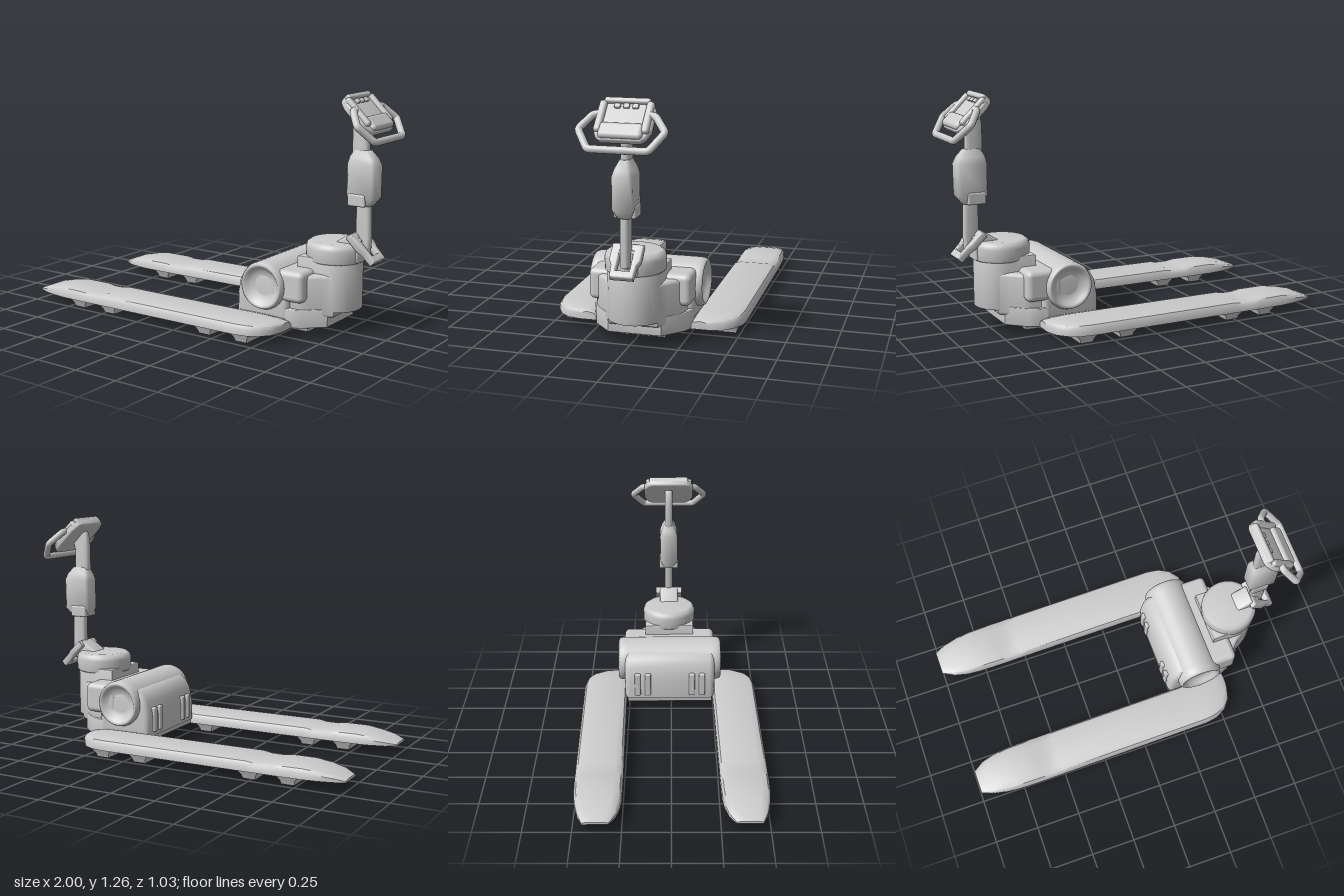
import * as THREE from 'three';
import { toCreasedNormals } from 'three/addons/utils/BufferGeometryUtils.js';
import { RoundedBoxGeometry } from 'three/addons/geometries/RoundedBoxGeometry.js';

const material = new THREE.MeshStandardMaterial({ color: 0xcccccc });

function add(parent, name, geometry, x = 0, y = 0, z = 0) {
  const mesh = new THREE.Mesh(geometry, material);
  mesh.name = name;
  mesh.position.set(x, y, z);
  parent.add(mesh);
  return mesh;
}

const toShape = (pts) => new THREE.Shape(pts.map(([x, y]) => new THREE.Vector2(x, y)));

// Bevelled slab of a side profile, centred on z; the outline stays the given size.
function slab(shape, depth, bevel) {
  const g = new THREE.ExtrudeGeometry(shape, {
    depth: depth - 2 * bevel, bevelEnabled: bevel > 0, bevelSize: bevel,
    bevelThickness: bevel, bevelOffset: -bevel, bevelSegments: 3, curveSegments: 16,
  });
  g.translate(0, 0, -depth / 2 + bevel);
  return toCreasedNormals(g, 0.7);
}

// Plan outline raised from y0 to y1.
function raised(pts, y0, y1, bevel) {
  const g = slab(toShape(pts), y1 - y0, bevel);
  g.rotateX(-Math.PI / 2);
  return g.translate(0, (y0 + y1) / 2, 0);
}

const mirrorPlan = (half) => [...half.map(([x, z]) => [x, -z]), ...half.slice().reverse()];

// Skin over equal-length loops of points, closed at both ends.
function loft(loops, crease = 0.7) {
  const n = loops[0].length, index = [];
  for (let i = 0; i < loops.length - 1; i++) {
    for (let j = 0; j < n; j++) {
      const a = i * n + j, d = i * n + (j + 1) % n;
      index.push(a, a + n, d + n, a, d + n, d);
    }
  }
  const last = (loops.length - 1) * n;
  for (let j = 1; j < n - 1; j++) index.push(0, j, j + 1, last, last + j + 1, last + j);
  const g = new THREE.BufferGeometry();
  g.setAttribute('position', new THREE.Float32BufferAttribute(loops.flat(2), 3));
  g.setIndex(index);
  return toCreasedNormals(g.toNonIndexed(), crease);
}

// Fork stations: x, inner z, outer z, top y.
const forkStations = [
  [-1, 0.32, 0.455, 0.064], [-0.94, 0.285, 0.48, 0.086], [-0.86, 0.265, 0.498, 0.102],
  [-0.78, 0.257, 0.507, 0.112], [-0.65, 0.255, 0.51, 0.111], [-0.6, 0.255, 0.51, 0.103],
  [-0.52, 0.255, 0.51, 0.104], [-0.48, 0.255, 0.51, 0.112], [0.18, 0.255, 0.51, 0.112],
  [0.38, 0.255, 0.51, 0.112], [0.45, 0.255, 0.5, 0.111], [0.51, 0.255, 0.468, 0.107],
  [0.55, 0.255, 0.42, 0.101], [0.57, 0.255, 0.35, 0.093],
];

function forkGeometry(side) {
  return loft(forkStations.map(([x, zi, zo, top]) => {
    const h = top - 0.05, loop = [
      [zi, 0.05], [zo, 0.05], [zo, 0.05 + h * 0.55], [zo - 0.012, 0.05 + h * 0.85], [zo - 0.045, top],
      [zi + 0.045, top], [zi + 0.012, 0.05 + h * 0.85], [zi, 0.05 + h * 0.55],
    ].map(([z, y]) => [x, y, z * side]);
    return side > 0 ? loop : loop.reverse();
  }));
}

// Pad tapering down to the floor with hollow flanks.
function padGeometry(length, width) {
  const rings = [[0, 0.035, 0.025], [0.022, 0.03, 0.016], [0.038, 0.018, 0.008], [0.055, 0, 0]];
  return loft(rings.map(([y, dx, dz]) => {
    const x = length / 2 - dx, z = width / 2 - dz;
    return [[x, y, -z], [x, y, z], [-x, y, z], [-x, y, -z]];
  }));
}

// Group lying on a 45 degree slope: local y points up the slope, z outwards.
function slopedGroup(parent, name, x, y) {
  const g = new THREE.Group(), k = Math.SQRT1_2;
  g.name = name;
  g.quaternion.setFromRotationMatrix(new THREE.Matrix4().makeBasis(
    new THREE.Vector3(0, 0, -1), new THREE.Vector3(-k, k, 0), new THREE.Vector3(k, k, 0)));
  g.position.set(x, y, 0);
  parent.add(g);
  return g;
}

export function createModel() {
  const root = new THREE.Group();
  root.name = 'palletTruck';
  const truck = new THREE.Group();
  truck.name = 'truck';
  truck.rotation.y = 0.012;
  truck.position.z = -0.006;
  root.add(truck);

  // Forks with floor pads
  for (const s of [1, -1]) {
    add(truck, 'fork', forkGeometry(s));
    for (const x of [-0.695, -0.48, 0.17, 0.4]) add(truck, 'forkPad', padGeometry(0.14, 0.215), x, 0, s * 0.382);
  }

  // Chassis, rear shell and drive body
  add(truck, 'bodyPad', padGeometry(0.26, 0.3), 0.5, 0);
  add(truck, 'chassis', raised(mirrorPlan([[0.25, 0.25], [0.56, 0.26], [0.62, 0.235], [0.72, 0.14]]), 0.05, 0.15, 0.004));
  add(truck, 'rearShell', slab(toShape([[0.235, 0.08], [0.55, 0.08], [0.55, 0.3], [0.36, 0.345], [0.31, 0.34],
    [0.275, 0.315], [0.25, 0.27], [0.235, 0.19]]), 0.53, 0.03));
  for (const z of [-0.19, -0.13, 0.13, 0.19]) add(truck, 'shellRib', new RoundedBoxGeometry(0.04, 0.14, 0.035, 2, 0.008), 0.244, 0.17, z);
  add(truck, 'sideBlock', new RoundedBoxGeometry(0.2, 0.165, 0.54, 4, 0.03), 0.54, 0.27, 0);
  add(truck, 'driveBody', raised(mirrorPlan([[0.42, 0.235], [0.6, 0.235], [0.64, 0.215], [0.69, 0.165], [0.75, 0.13]]), 0.1, 0.33, 0.02));

  // Transverse motor drum with dished ends
  const drumHalf = [[0.001, 0.262], [0.05, 0.264], [0.075, 0.271], [0.092, 0.284], [0.103, 0.297], [0.112, 0.303],
    [0.12, 0.298], [0.127, 0.28], [0.128, 0.25]];
  const drumProfile = [...drumHalf.map(([r, y]) => [r, -y]), ...drumHalf.slice().reverse()];
  const drum = new THREE.LatheGeometry(drumProfile.map(([r, y]) => new THREE.Vector2(r, y)), 36);
  drum.rotateX(Math.PI / 2);
  add(truck, 'motorDrum', drum, 0.41, 0.258, 0);

  // Steering column and cap
  const column = [];
  for (let i = 0; i <= 16; i++) {
    const a = -Math.PI / 2 + (i / 16) * Math.PI;
    column.push([0.69 + 0.14 * Math.cos(a), 0.145 * Math.sin(a)]);
  }
  add(truck, 'steeringColumn', raised([[0.54, -0.145], ...column, [0.54, 0.145]], 0.13, 0.41, 0.004));
  const cap = [[0, 0], [0.145, 0], [0.155, 0.01], [0.157, 0.07], [0.15, 0.093], [0.13, 0.107], [0, 0.108]];
  add(truck, 'columnCap', new THREE.LatheGeometry(cap.map(([r, y]) => new THREE.Vector2(r, y)), 36), 0.685, 0.383, 0);

  // Tiller hinge and pedal frame
  add(truck, 'hingeLug', slab(toShape([[0.70, 0.48], [0.75, 0.515], [0.8, 0.545], [0.85, 0.51], [0.84, 0.39], [0.78, 0.39]]), 0.11, 0.012));
  const pedal = slopedGroup(truck, 'pedal', 0.86, 0.472);
  const frame = toShape([[-0.06, -0.1], [0.06, -0.1], [0.065, -0.03], [0.08, 0], [0.08, 0.09], [-0.08, 0.09], [-0.08, 0], [-0.065, -0.03]]);
  frame.holes.push(new THREE.Path([[-0.035, -0.06], [-0.035, 0.05], [0.035, 0.05], [0.035, -0.06]].map(([x, y]) => new THREE.Vector2(x, y))));
  add(pedal, 'pedalFrame', slab(frame, 0.04, 0.008));

  // Tiller arm and its housing
  add(truck, 'tillerArm', slab(toShape([[0.825, 0.42], [0.885, 0.44], [0.89, 0.52], [0.885, 0.7], [0.868, 0.97], [0.868, 1.08],
    [0.885, 1.14], [0.82, 1.21], [0.785, 1.17], [0.775, 1.1], [0.775, 0.97], [0.805, 0.7], [0.805, 0.5]]), 0.045, 0.018));
  const housing = [[0.69, 0.775, 0.89, 0.035], [0.735, 0.762, 0.922, 0.052], [0.9, 0.762, 0.924, 0.052],
    [0.935, 0.768, 0.91, 0.042], [0.975, 0.785, 0.88, 0.024]];
  add(truck, 'tillerHousing', loft(housing.map(([y, x0, x1, w]) => {
    const c = 0.015;
    return [[x0 + c, y, -w], [x1 - c, y, -w], [x1, y, -w + c], [x1, y, w - c],
      [x1 - c, y, w], [x0 + c, y, w], [x0, y, w - c], [x0, y, -w + c]];
  }), 1));
  add(truck, 'housingCollar', new RoundedBoxGeometry(0.1, 0.065, 0.115, 2, 0.01), 0.825, 0.72, 0);

  // Control head: tray with raised rim around a sunken panel, buttons and handle loop
  const head = slopedGroup(truck, 'controlHead', 0.855, 1.168);
  add(head, 'headTray', slab(toShape([[-0.1, -0.125], [0.1, -0.125], [0.125, -0.105], [0.145, -0.06], [0.145, 0.06],
    [0.125, 0.1], [0.1, 0.114], [-0.1, 0.114], [-0.125, 0.1], [-0.145, 0.06], [-0.145, -0.06], [-0.125, -0.105]]), 0.04, 0.012)).position.z = -0.01;
  add(head, 'headLip', new RoundedBoxGeometry(0.22, 0.085, 0.055, 4, 0.02), 0, -0.075, 0.003);
  add(head, 'headTopBar', new RoundedBoxGeometry(0.23, 0.03, 0.05, 3, 0.012), 0, 0.098, 0.005);
  for (const s of [1, -1]) {
    add(head, 'headSideRail', new RoundedBoxGeometry(0.038, 0.18, 0.05, 3, 0.015), s * 0.117, 0.005, 0.005);
  }
  for (const x of [-0.045, 0, 0.045]) add(head, 'button', new RoundedBoxGeometry(0.03, 0.025, 0.02, 2, 0.005), x, 0.068, 0.014);
  const loop = new THREE.CurvePath();
  const path = [[-0.12, 0.02, 0.012], [-0.155, 0.015, 0.012], [-0.215, -0.07, 0.005], [-0.15, -0.174, -0.005],
    [0.15, -0.174, -0.005], [0.215, -0.07, 0.005], [0.155, 0.015, 0.012], [0.12, 0.02, 0.012]]
    .map((p) => new THREE.Vector3(...p));
  // straight runs joined by short rounded corners
  let from = path[0];
  for (let i = 1; i < path.length - 1; i++) {
    const p = path[i], cut = (q) => p.clone().add(q.clone().sub(p).setLength(0.016));
    const a = cut(path[i - 1]), b = cut(path[i + 1]);
    loop.add(new THREE.LineCurve3(from, a));
    loop.add(new THREE.QuadraticBezierCurve3(a, p, b));
    from = b;
  }
  loop.add(new THREE.LineCurve3(from, path[path.length - 1]));
  add(head, 'handleLoop', new THREE.TubeGeometry(loop, 100, 0.019, 12, false));

  return root;
}
